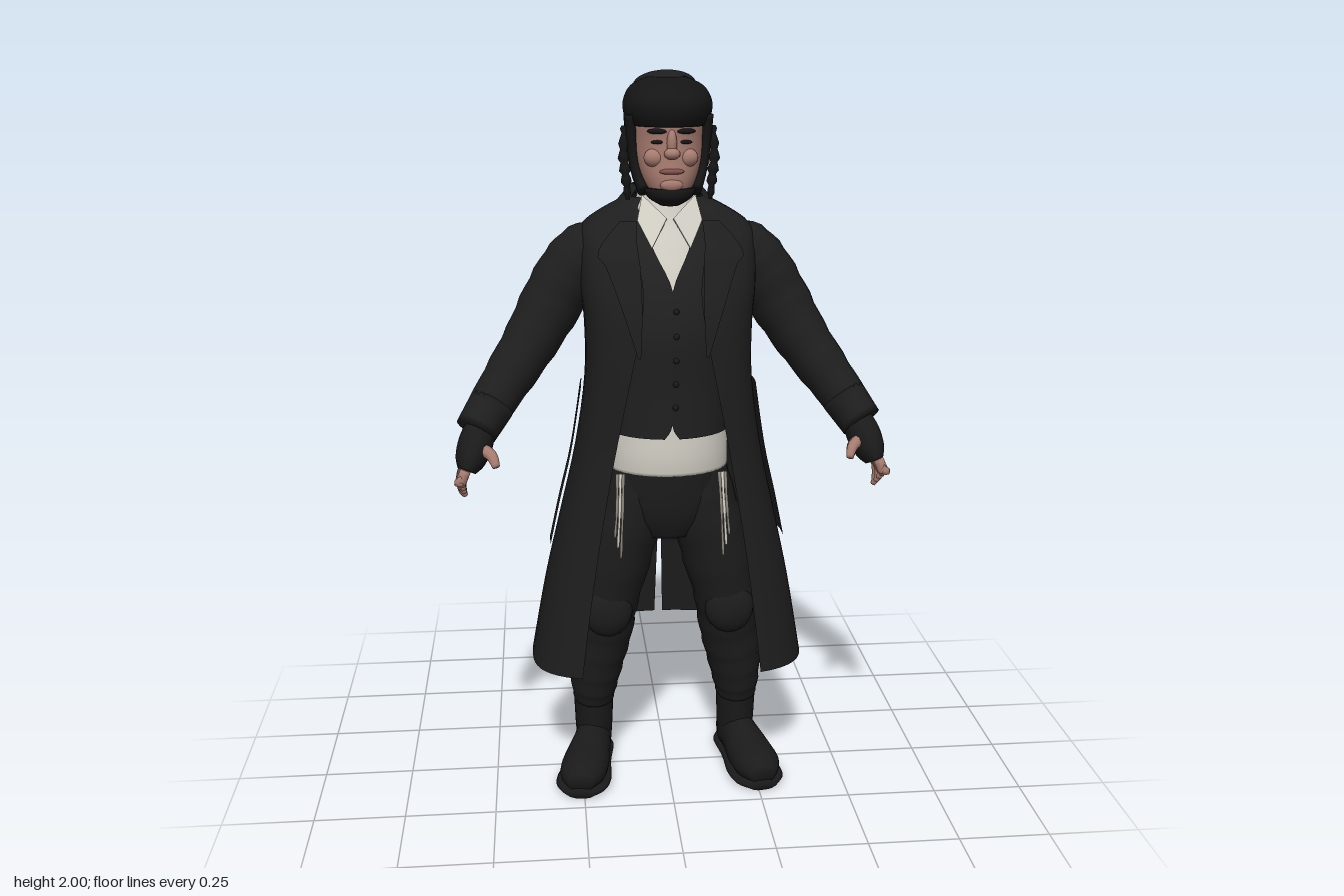
import * as THREE from 'three';

const mat = (name, color, side = THREE.FrontSide) => {
  const m = new THREE.MeshStandardMaterial({ color, side });
  m.name = name;
  return m;
};

// Catmull-Rom resampling of rows of numbers
function smooth(rows, k = 4) {
  const out = [], last = rows.length - 1;
  for (let i = 0; i < last; i++) for (let j = 0; j < k; j++) {
    const t = j / k, a = rows[Math.max(i - 1, 0)], b = rows[i], c = rows[i + 1], d = rows[Math.min(i + 2, last)];
    out.push(b.map((_, n) => 0.5 * (2 * b[n] + (c[n] - a[n]) * t + (2 * a[n] - 5 * b[n] + 4 * c[n] - d[n]) * t * t
      + (3 * b[n] - a[n] - 3 * c[n] + d[n]) * t * t * t)));
  }
  out.push(rows[last]);
  return out;
}

// Skin a list of rings; closed rings wrap round and get end caps
function surface(rings, closed) {
  if (closed) {
    const middle = r => r.map(() => [0, 1, 2].map(k => r.reduce((s, p) => s + p[k], 0) / r.length));
    rings = [middle(rings[0]), ...rings, middle(rings[rings.length - 1])];
  }
  const n = rings[0].length, index = [];
  for (let i = 0; i < rings.length - 1; i++) for (let j = 0; j < (closed ? n : n - 1); j++) {
    const a = i * n + j, b = i * n + (j + 1) % n;
    index.push(a, b, b + n, a, b + n, a + n);
  }
  const g = new THREE.BufferGeometry();
  g.setAttribute('position', new THREE.Float32BufferAttribute(rings.flat(2), 3));
  g.setIndex(index);
  g.computeVertexNormals();
  return g;
}

// Horizontal section: row = [y, half width, front z, back z]; p < 1 squares off the front
function sectionPoint([y, rx, zf, zb], t, p) {
  const s = Math.sin(t), c = Math.cos(t), e = c > 0 ? p : 1, mid = (zf + zb) / 2;
  return [rx * Math.sign(s) * Math.abs(s) ** e, y, mid + (zf - mid) * Math.sign(c) * Math.abs(c) ** e];
}
const angleAt = (r, x, p) => Math.asin(Math.min(1, Math.max(0, x) / r[1]) ** (1 / p));

// Closed stack of sections
const stack = (rows, n = 32) => surface(smooth(rows).map(r =>
  Array.from({ length: n }, (_, j) => sectionPoint(r, j / n * Math.PI * 2, 1))), true);

// Open sheet of sections on one side of the body, between two angles
const sheet = (rows, s, from, to, p = 1, n = 20) => surface(smooth(rows).map(r =>
  Array.from({ length: n + 1 }, (_, j) => {
    const f = s > 0 ? j / n : 1 - j / n;
    return sectionPoint(r, s * (from(r) + (to(r) - from(r)) * f), p);
  })), false);

// Limb along a path: point = [x, y, z, radius along ref, radius across]
function limb(points, { ref = [0, 0, 1], n = 16, k = 4, ripple = 0 } = {}) {
  const rows = smooth(points, k), at = i => new THREE.Vector3(...rows[Math.min(Math.max(i, 0), rows.length - 1)].slice(0, 3));
  return surface(rows.map((r, i) => {
    const d = at(i + 1).sub(at(i - 1)).normalize();
    const u = new THREE.Vector3(...ref).addScaledVector(d, -d.dot(new THREE.Vector3(...ref))).normalize();
    const v = d.clone().cross(u), w = 1 + ripple * Math.sin(i * 2.1);
    return Array.from({ length: n }, (_, j) => {
      const t = j / n * Math.PI * 2;
      const q = at(i).addScaledVector(u, r[3] * w * Math.cos(t)).addScaledVector(v, r[4] * w * Math.sin(t));
      return [q.x, Math.max(0, q.y), q.z];
    });
  }), true);
}

export function createModel() {
  const group = new THREE.Group();
  const coat = mat('coat black', 0x1e1e1e, THREE.DoubleSide);
  const vest = mat('vest black', 0x212122, THREE.DoubleSide);
  const trousers = mat('trouser black', 0x1c1c1d);
  const boots = mat('boot black', 0x1a1a1a);
  const hair = mat('hair black', 0x151515, THREE.DoubleSide);
  const skin = mat('skin', 0xa87c70);
  const lips = mat('lips', 0x84534b);
  const shirt = mat('shirt white', 0xd2cfc5, THREE.DoubleSide);
  const fringe = mat('fringe grey', 0x8c847a);
  const add = (name, geometry, material) => {
    const m = new THREE.Mesh(geometry, material);
    m.name = name;
    group.add(m);
    return m;
  };
  const ball = (name, material, pos, size) => {
    const m = add(name, new THREE.SphereGeometry(1, 16, 12), material);
    m.position.set(...pos);
    m.scale.set(...size);
    return m;
  };

  // Torso clothing under the coat
  add('shirtChest', stack([[1.35, .16, .185, -.1], [1.45, .16, .172, -.1], [1.55, .14, .132, -.1],
    [1.62, .1, .1, -.09], [1.69, .075, .08, -.07]]), shirt);
  add('shirtTail', stack([[.94, .168, .165, -.12], [1.0, .168, .17, -.12], [1.12, .16, .165, -.11]]), shirt);
  add('trouserSeat', stack([[.74, .1, .1, -.1], [.82, .16, .13, -.12], [.95, .16, .14, -.12], [1.05, .15, .13, -.11]]), trousers);
  const vestRows = [[1.05, .17, .18, -.12, .02], [1.09, .172, .183, -.12, 0], [1.2, .177, .193, -.12, 0], [1.33, .185, .208, -.13, 0],
    [1.45, .185, .192, -.13, 0], [1.55, .17, .152, -.12, .045], [1.65, .12, .1, -.1, .08]];
  for (let i = 0; i < 5; i++) ball('vestButton', boots, [.008, 1.14 + i * .065, [.189, .196, .205, .209, .204][i]], [.008, .008, .005]);

  // Coat rows: y, half width, front z, back z, front edge x, back slit
  const coatRows = [[.365, .388, .205, -.275, .25, .012], [.6, .345, .205, -.237, .22, .006], [.8, .3, .205, -.195, .19, 0],
    [1.0, .255, .205, -.162, .155, 0], [1.2, .226, .21, -.15, .115, 0], [1.35, .225, .206, -.16, .085, 0],
    [1.45, .235, .186, -.17, .075, 0], [1.55, .237, .14, -.165, .09, 0], [1.6, .225, .1, -.155, .09, 0],
    [1.64, .17, .08, -.14, .085, 0], [1.675, .1, .05, -.115, .07, 0]];
  const lapelRows = [[1.28, .236, .223, -.16, .085, .092], [1.4, .242, .209, -.16, .08, .13], [1.51, .25, .172, -.16, .082, .17],
    [1.535, .25, .161, -.16, .085, .19], [1.57, .244, .138, -.16, .088, .175], [1.62, .212, .106, -.15, .085, .13]];
  const pocketRows = [[.72, .33, .205, -.21], [.85, .302, .205, -.187], [1.0, .267, .205, -.162], [1.18, .238, .21, -.15]];

  for (const s of [1, -1]) {
    const side = s > 0 ? 'left' : 'right';
    add(side + 'VestHalf', sheet(vestRows, s, r => angleAt(r, r[4], 1), () => Math.PI), vest);
    add(side + 'CoatHalf', sheet(coatRows, s, r => angleAt(r, r[4], .6), r => Math.PI - Math.max(0, r[5]) / r[1], .6, 28), coat);
    add(side + 'Lapel', sheet(lapelRows, s, r => angleAt(r, r[4], .6), r => angleAt(r, r[5], .6), .6, 6), coat);
    add(side + 'PocketPanel', sheet(pocketRows, s, () => 1.45, () => 1.78, .6, 6), coat);
    add(side + 'CoatCollar', sheet([[1.62, .15, .09, -.148], [1.66, .13, .07, -.138], [1.705, .09, .05, -.105]], s, () => .95, () => Math.PI), coat);

    // Shirt collar leaf
    const leaf = new THREE.Shape([[.008, .03], [.07, .1], [.085, .03], [.05, -.05]].map(([x, y]) => new THREE.Vector2(x * s, y)));
    const collar = add(side + 'ShirtCollar', new THREE.ExtrudeGeometry(leaf, { depth: .006, bevelEnabled: false }), shirt);
    collar.position.set(0, 1.6, .125);
    collar.rotation.x = -.5;
    collar.rotation.y = s * .15;

    // Sleeve, cuff and fingerless glove
    const flip = rows => rows.map(([x, ...rest]) => [x * s, ...rest]);
    add(side + 'Sleeve', limb(flip([[.17, 1.56, -.02, .08, .05], [.21, 1.535, -.02, .098, .075], [.255, 1.48, -.02, .102, .085],
      [.31, 1.39, -.01, .095, .084], [.37, 1.29, .02, .086, .075], [.44, 1.19, .07, .074, .066], [.505, 1.1, .125, .062, .056]]),
      { n: 20, ripple: .025 }), coat);
    add(side + 'Cuff', limb(flip([[.475, 1.14, .1, .07, .062], [.52, 1.075, .14, .064, .057]])), coat);
    add(side + 'Glove', limb(flip([[.505, 1.09, .13, .045, .04], [.52, 1.05, .165, .058, .046], [.535, 1.01, .19, .062, .04],
      [.545, .985, .2, .055, .025]])), boots);
    for (let f = 0; f < 4; f++) {
      const z = .155 + f * .03, tip = .905 + f * .018;
      add(side + 'Finger', limb(flip([[.545, 1.0, z, .014, .014], [.56, .965, z + .008, .014, .014], [.56, tip + .02, z + .012, .012, .012],
        [.552, tip, z + .01, .007, .007]]), { n: 8, k: 3 }), skin);
    }
    add(side + 'Thumb', limb(flip([[.51, 1.045, .19, .018, .018], [.478, 1.035, .23, .016, .016], [.465, 1.01, .255, .008, .01]]), { n: 8 }), skin);

    // Leg, knee patch and boot
    add(side + 'TrouserLeg', limb(flip([[.212, .2, -.042, .075, .058], [.21, .25, -.04, .09, .068], [.2, .34, -.03, .098, .08], [.182, .44, -.01, .096, .086],
      [.17, .54, .01, .1, .09], [.135, .7, .015, .108, .1], [.1, .83, .01, .11, .095], [.085, .95, 0, .1, .08]]), { n: 20, ripple: .025 }), trousers);
    ball(side + 'KneePatch', trousers, [.173 * s, .52, .08], [.07, .075, .04]);
    add(side + 'BootShaft', limb(flip([[.212, .04, -.055, .07, .05], [.212, .12, -.05, .074, .055], [.212, .26, -.045, .08, .06]]), { n: 20 }), boots);
    add(side + 'BootFoot', limb(flip([[.205, .06, -.13, .04, .03], [.21, .065, -.09, .068, .05], [.22, .07, 0, .07, .054],
      [.238, .058, .08, .058, .066], [.255, .05, .15, .05, .064], [.262, .042, .198, .025, .035]]), { ref: [0, 1, 0], n: 20 }), boots);
    add(side + 'BootSole', limb(flip([[.205, .014, -.132, .016, .04], [.21, .014, -.09, .017, .058], [.222, .014, 0, .017, .058],
      [.245, .014, .09, .017, .078], [.256, .014, .16, .017, .072], [.262, .014, .2, .015, .04]]), { ref: [0, 1, 0] }), boots);

    // Hanging fringe strands
    for (let k = 0; k < 3; k++) {
      const x = .13 + k * .008;
      add(side + 'Fringe', limb(flip([[x, .95, .155, .005, .005], [x + .004, .85, .18, .004, .004], [x + .01, .72 + k * .03, .185, .004, .004]]),
        { n: 6, ripple: .2 }), k === 1 ? shirt : fringe);
    }

    // Ear, sideburn, braided sidelock, eye, brow and cheek
    ball(side + 'Ear', skin, [.1 * s, 1.79, .025], [.016, .042, .026]);
    add(side + 'Sideburn', limb(flip([[.066, 1.695, .095, .035, .016], [.086, 1.75, .075, .026, .014], [.096, 1.82, .07, .026, .014],
      [.1, 1.89, .07, .04, .016]]), { n: 12 }), hair);
    add(side + 'Sidelock', limb(flip([[.112, 1.86, .07, .01, .01], [.118, 1.79, .08, .012, .012], [.112, 1.73, .085, .012, .012],
      [.108, 1.675, .085, .006, .006]]), { n: 8, k: 6, ripple: .3 }), hair);
    ball(side + 'Eye', hair, [.036 * s, 1.825, .151], [.017, .005, .005]);
    ball(side + 'Brow', hair, [.038 * s, 1.852, .153], [.026, .007, .008]).rotation.y = s * .35;
    ball(side + 'Cheek', skin, [.042 * s, 1.785, .135], [.028, .024, .022]);
  }

  // Head
  add('neck', stack([[1.6, .065, .07, -.06], [1.7, .06, .08, -.055], [1.78, .065, .1, -.06]], 20), skin);
  add('head', stack([[1.675, .03, .135, .06], [1.7, .055, .158, .025], [1.735, .074, .164, -.02], [1.78, .088, .16, -.06], [1.83, .093, .158, -.085],
    [1.88, .095, .16, -.095], [1.93, .085, .13, -.085], [1.965, .05, .07, -.06]]), skin);
  ball('noseBridge', skin, [0, 1.822, .158], [.013, .035, .016]);
  ball('noseTip', skin, [0, 1.797, .168], [.021, .015, .019]);
  ball('chin', skin, [0, 1.718, .153], [.03, .018, .016]);
  ball('mouth', lips, [0, 1.752, .159], [.032, .008, .008]);

  // Beard, hair and tilted cap
  add('beard', stack([[1.662, .025, .135, .07], [1.68, .055, .164, .04], [1.698, .066, .168, .03], [1.708, .066, .163, .03]]), hair);
  add('hairTop', stack([[1.862, .102, .163, -.1], [1.89, .114, .176, -.108], [1.925, .115, .173, -.108], [1.96, .095, .13, -.09],
    [1.982, .05, .07, -.06]]), hair);
  for (const s of [1, -1]) add('hairBack', sheet([[1.705, .062, .07, -.058], [1.75, .085, .09, -.085], [1.8, .103, .11, -.102],
    [1.88, .113, .14, -.11]], s, () => 1.6, () => Math.PI), hair);
  const cap = add('cap', new THREE.CylinderGeometry(.083, .111, .085, 32), coat);
  cap.position.set(0, 1.922, -.037);
  cap.rotation.x = -.5;
  return group;
}
